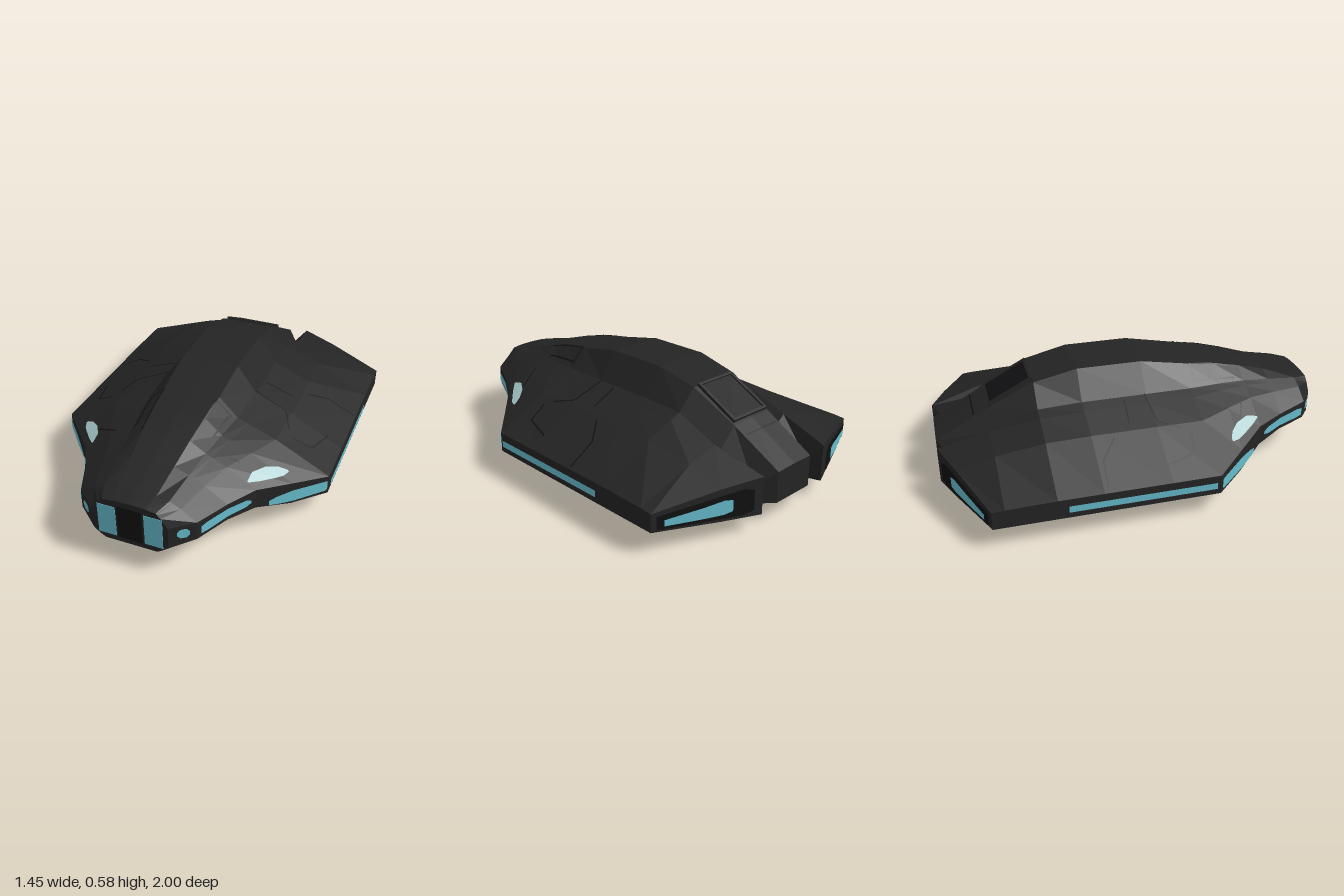
import * as THREE from 'three';

const lerp = THREE.MathUtils.lerp;
const mat = (name, color, side = THREE.FrontSide) => {
  const m = new THREE.MeshStandardMaterial({ color, side });
  m.name = name;
  return m;
};

// z, roof, belly, gutter x, gutter height, keel height, wall x, wall top, wall bottom
const stations = [
  [1, .37, .135, .13, .36, .14, .185, .29, .175],
  [.92, .385, .125, .16, .375, .13, .29, .295, .2],
  [.75, .43, .105, .18, .4, .1, .365, .285, .195],
  [.6, .475, .085, .2, .42, .075, .45, .28, .175],
  [.45, .51, .06, .22, .43, .04, .58, .245, .125],
  [.29, .535, .045, .24, .435, .015, .72, .21, .11],
  [.05, .58, .04, .25, .44, 0, .72, .21, .11],
  [-.28, .58, .04, .25, .44, 0, .72, .21, .11],
  [-.5, .53, .04, .24, .425, 0, .72, .21, .11],
  [-.74, .405, .06, .21, .36, .03, .72, .205, .11],
  [-1, .26, .1, .2, .28, .085, .72, .2, .11],
];

// Wing trailing edge, swept forward towards the tip
const rearZ = x => -1 + .41 * Math.max(0, x - .232);

// Half section as columns of [x, top, bottom]: centre, roof edge, gutter, keel, shoulder, wall
function section([z, roof, belly, gx, gy, keel, wx, wTop, wBot]) {
  const groove = Math.max(0, -z - .5) * .2;
  return [
    [0, roof, belly],
    [gx * .6, roof - .003, belly],
    [gx, gy - groove, belly],
    [lerp(gx, wx, .12 - groove * .7), lerp(gy, wTop, .1), keel],
    [lerp(gx, wx, .42), lerp(gy, wTop, .35), lerp(keel, wBot, .3)],
    [wx, wTop, wBot],
  ];
}

// Half section at any z
function sectionAt(z) {
  let i = 0;
  while (i < stations.length - 2 && stations[i + 1][0] > z) i++;
  const a = stations[i], b = stations[i + 1];
  const t = (z - a[0]) / (b[0] - a[0]);
  const from = section(a), to = section(b);
  return from.map((p, k) => p.map((v, n) => lerp(v, to[k][n], t)));
}
const wallX = z => sectionAt(z)[5][0];
function topAt(x, z) {
  const s = sectionAt(z);
  let k = 0;
  while (k < 4 && s[k + 1][0] < x) k++;
  return lerp(s[k][1], s[k + 1][1], (x - s[k][0]) / (s[k + 1][0] - s[k][0]));
}

function quadGeometry(quads) {
  const pos = [];
  for (const [a, b, c, d] of quads) pos.push(...a, ...b, ...c, ...a, ...c, ...d);
  const g = new THREE.BufferGeometry();
  g.setAttribute('position', new THREE.Float32BufferAttribute(pos, 3));
  g.computeVertexNormals();
  return g;
}

// Closed hull skin from mirrored sections; the rear one is swept and notched at the gutter
function hullGeometry() {
  const last = stations.length - 1;
  const rows = stations.map((station, i) => {
    const half = section(station).map(([x, t, b], k) => {
      const z = i < last ? station[0] : k === 2 ? -.93 : rearZ(x);
      return { t: [x, t, z], b: [x, b, z] };
    });
    const flip = ([x, y, z]) => [-x, y, z];
    return [...half.slice(1).reverse().map(p => ({ t: flip(p.t), b: flip(p.b) })), ...half];
  });
  const quads = [];
  const n = rows[0].length - 1;
  for (let i = 0; i < last; i++) {
    const p = rows[i], q = rows[i + 1];
    for (let j = 0; j < n; j++) {
      quads.push([p[j].t, p[j + 1].t, q[j + 1].t, q[j].t]);
      quads.push([q[j].b, q[j + 1].b, p[j + 1].b, p[j].b]);
    }
    quads.push([p[n].t, p[n].b, q[n].b, q[n].t], [q[0].t, q[0].b, p[0].b, p[0].t]);
  }
  const f = rows[0], r = rows[last];
  for (let j = 0; j < n; j++) {
    quads.push([f[j].b, f[j + 1].b, f[j + 1].t, f[j].t]);
    quads.push([r[j].t, r[j + 1].t, r[j + 1].b, r[j].b]);
  }
  return quadGeometry(quads);
}

// Strip through pairs of low and high edge points
const stripGeometry = pairs =>
  quadGeometry(pairs.slice(1).map(([lo, hi], i) => [pairs[i][0], lo, hi, pairs[i][1]]));

// Strip on the side wall from [z, low, high]
const wallStrip = (list, s) => stripGeometry(list.map(([z, lo, hi]) => {
  const x = s * (wallX(z) + .007);
  return [[x, lo, z], [x, hi, z]];
}));
// Strip on the wing's rear face from [x, low, high]
const rearStrip = (list, s, lift) => stripGeometry(list.map(([x, lo, hi]) => {
  const z = rearZ(x) - lift;
  return [[s * x, lo, z], [s * x, hi, z]];
}));
// Strip lying on the upper skin from pairs of [x, z]
const topStrip = (list, s, lift) => stripGeometry(list.map(pair =>
  pair.map(([x, z]) => [s * x, topAt(x, z) + lift, z])));

function seamStrip([x0, z0, x1, z1], s) {
  const len = Math.hypot(x1 - x0, z1 - z0);
  const nx = -(z1 - z0) / len * .004, nz = (x1 - x0) / len * .004;
  const list = [];
  for (let i = 0; i <= 8; i++) {
    const x = lerp(x0, x1, i / 8), z = lerp(z0, z1, i / 8);
    list.push([[x - nx, z - nz], [x + nx, z + nz]]);
  }
  return topStrip(list, s, .003);
}

export function createModel() {
  const hullMat = mat('charcoal hull', 0x242424);
  const seamMat = mat('black seam', 0x111113, THREE.DoubleSide);
  const glowMat = mat('teal glass', 0x66bccd, THREE.DoubleSide);
  const paleMat = mat('pale glass', 0xa9cbcc, THREE.DoubleSide);
  const group = new THREE.Group();
  const add = (name, geometry, material, parent = group) => {
    const m = new THREE.Mesh(geometry, material);
    m.name = name;
    parent.add(m);
    return m;
  };

  add('hull', hullGeometry(), hullMat);

  // Nose pillar between the front windows
  add('nosePillar', new THREE.BoxGeometry(.12, .18, .006), seamMat).position.set(0, .25, .999);

  const seams = [
    [.27, -.07, .41, -.08], [.25, .04, .42, .06], [.42, .06, .47, .17], [.57, -.25, .71, -.26],
    [.47, -.17, .57, -.25], [.6, .19, .64, .03], [.5, .21, .6, .19], [.13, .32, .22, .32],
    [.14, .33, .13, .6], [.21, .33, .19, .55], [.3, .55, .42, .5],
  ];

  for (const s of [1, -1]) {
    const side = new THREE.Group();
    side.name = s > 0 ? 'leftDetails' : 'rightDetails';
    group.add(side);

    // Glass along the nose and side wall
    add('frontWindow', new THREE.BoxGeometry(.09, .165, .006), glowMat, side).position.set(s * .115, .247, .999);
    add('noseLamp', wallStrip([[.979, .24, .26], [.97, .225, .275], [.953, .225, .275], [.944, .24, .26]], s), glowMat, side);
    add('forwardWindow', wallStrip([[.905, .225, .265], [.87, .22, .27], [.75, .22, .265], [.66, .215, .255], [.63, .225, .24]], s), glowMat, side);
    add('shoulderWindow', wallStrip([[.55, .165, .19], [.52, .155, .2], [.45, .14, .205], [.31, .132, .19], [.3, .14, .185]], s), glowMat, side);
    add('sideStripe', wallStrip([[.27, .142, .176], [-.45, .142, .176]], s), glowMat, side);

    // Engine outlet on the slanted rear of the wing
    add('engineRecess', rearStrip([[.27, .12, .22], [.32, .105, .235], [.46, .11, .215], [.7, .12, .185]], s, .005), seamMat, side);
    add('engineGlow', rearStrip([[.37, .14, .195], [.41, .13, .2], [.5, .13, .185], [.67, .135, .165]], s, .01), glowMat, side);

    // Upper glass on the shoulder
    add('upperWindow', topStrip([
      [[.405, .598], [.412, .598]], [[.408, .54], [.452, .555]],
      [[.45, .47], [.505, .49]], [[.5, .425], [.535, .45]], [[.54, .408], [.55, .412]],
    ], s, .008), paleMat, side);

    for (const line of seams) add('panelSeam', seamStrip(line, s), seamMat, side);
  }

  // Framed hatch on the sloping rear deck
  const hatch = new THREE.Group();
  hatch.name = 'rearHatch';
  hatch.position.set(0, .473, -.615);
  hatch.rotation.x = -Math.atan2(.125, .24);
  group.add(hatch);
  add('hatchPanel', new THREE.BoxGeometry(.22, .008, .24), seamMat, hatch);
  for (const s of [1, -1]) {
    add('hatchSideRail', new THREE.BoxGeometry(.014, .022, .26), hullMat, hatch).position.x = s * .112;
    add('hatchEndRail', new THREE.BoxGeometry(.22, .022, .014), hullMat, hatch).position.z = s * .123;
  }

  // Cross seam behind the hatch
  add('deckSeam', topStrip([[[0, -.8], [0, -.808]], [[.11, -.8], [.11, -.808]]], 1, .004), seamMat);
  add('deckSeam', topStrip([[[0, -.8], [0, -.808]], [[.11, -.8], [.11, -.808]]], -1, .004), seamMat);

  return group;
}
